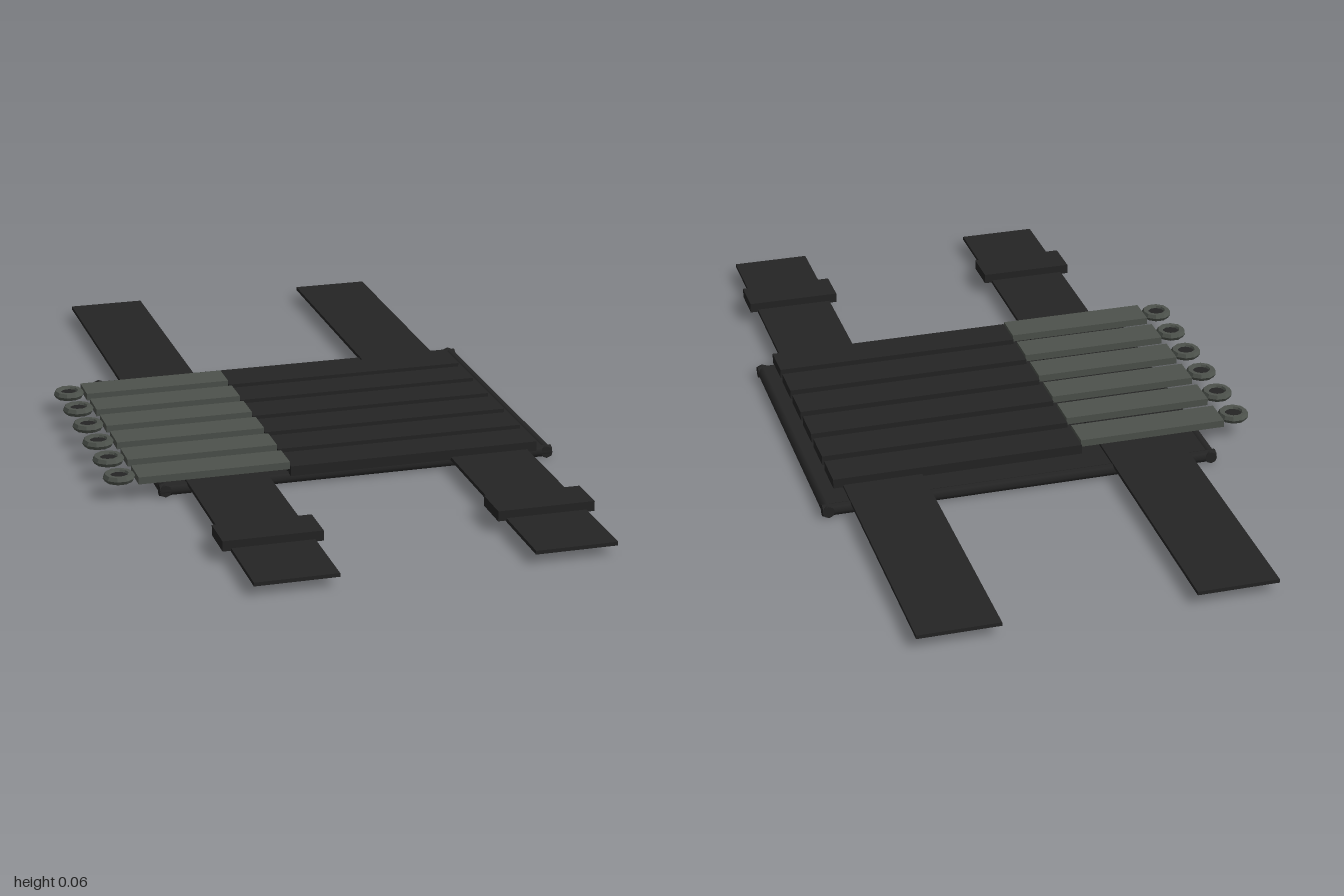
import * as THREE from 'three';

export function createModel() {
  const group = new THREE.Group();
  const fabric = new THREE.MeshStandardMaterial({ color: 0x242424 });
  fabric.name = 'black fabric';
  const metal = new THREE.MeshStandardMaterial({ color: 0x4d524c, flatShading: true });
  metal.name = 'grey metal';

  const add = (name, geometry, material, x, y, z) => {
    const mesh = new THREE.Mesh(geometry, material);
    mesh.name = name;
    mesh.position.set(x, y, z);
    group.add(mesh);
    return mesh;
  };
  // Box given by its limits on each axis
  const box = (name, material, [x0, x1], [y0, y1], [z0, z1]) =>
    add(name, new THREE.BoxGeometry(x1 - x0, y1 - y0, z1 - z0), material,
      (x0 + x1) / 2, (y0 + y1) / 2, (z0 + z1) / 2);

  // Base panel with a rolled hem on all four edges
  box('basePanel', fabric, [-0.42, 0.547], [0.003, 0.027], [-0.375, 0.372]);
  for (const x of [-0.42, 0.547]) {
    add('sideHem', new THREE.CylinderGeometry(0.015, 0.015, 0.775, 8), fabric, x, 0.015, -0.002)
      .rotation.x = Math.PI / 2;
  }
  for (const z of [-0.375, 0.372]) {
    add('endHem', new THREE.CylinderGeometry(0.015, 0.015, 0.995, 8), fabric, 0.0635, 0.015, z)
      .rotation.z = Math.PI / 2;
  }

  // Two long straps, each with a buckle near the front
  for (const x of [-0.267, 0.392]) {
    box('strap', fabric, [x - 0.099, x + 0.099], [0.024, 0.033], [-1, 1]);
    box('buckle', fabric, [x - 0.119, x + 0.119], [0.027, 0.052], [0.7, 0.8]);
  }

  // Six pockets, each holding a flat tool with a ring end
  for (let i = 0; i < 6; i++) {
    const z = 0.348 - i * 0.12;
    box('pocket', fabric, [-0.113, 0.515], [0.026, 0.051], [z - 0.048, z + 0.048]);
    box('toolHandle', metal, [-0.487, -0.113], [0.042, 0.06], [z - 0.041, z + 0.041]);
    add('toolRing', new THREE.TorusGeometry(0.029, 0.0105, 6, 10), metal, -0.526, 0.051, z)
      .rotation.x = Math.PI / 2;
    add('ringCentre', new THREE.CylinderGeometry(0.022, 0.022, 0.008, 10), fabric, -0.526, 0.051, z);
  }
  return group;
}
